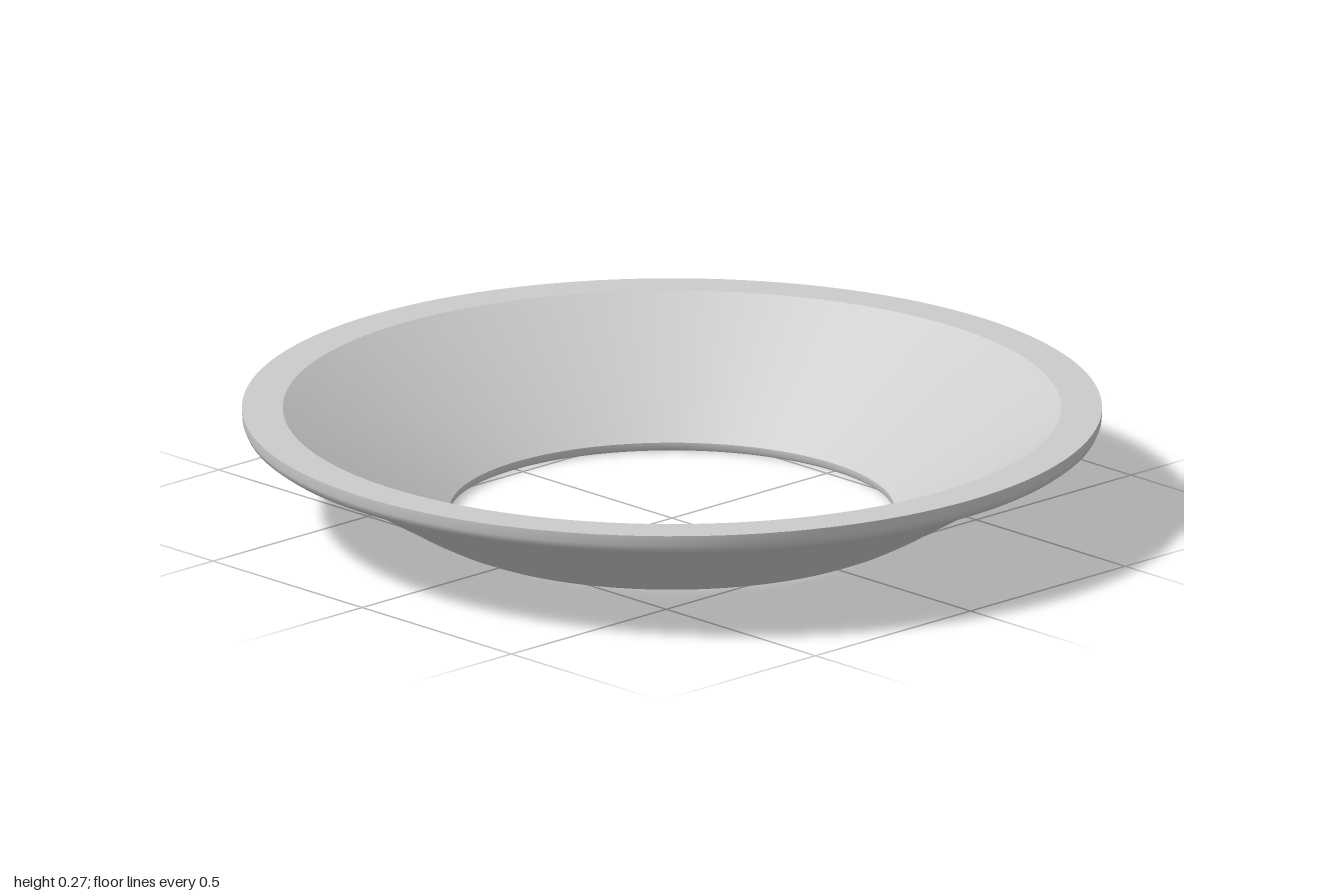
import * as THREE from 'three';

// Each section is a smooth strip; section ends meet at sharp edges.
// Profiles run counter-clockwise as [radius, height], so faces point outward.
const SECTIONS = {
  underside: [
    [0.555, 0], [0.568, 0.004], [0.6, 0.018], [0.65, 0.045], [0.75, 0.106],
    [0.84, 0.161], [0.9, 0.193], [0.95, 0.212], [0.98, 0.222], [0.993, 0.232],
    [0.999, 0.246], [1, 0.27],
  ],
  rimTop: [[1, 0.27], [0.905, 0.27]],
  innerCone: [[0.905, 0.27], [0.518, 0.021]],
  holeWall: [[0.518, 0.021], [0.518, 0.007], [0.525, 0]],
  footRing: [[0.525, 0], [0.555, 0]],
};

export function createModel() {
  const group = new THREE.Group();
  group.name = 'flaredRing';
  const material = new THREE.MeshStandardMaterial({ color: 0xcccccc });
  for (const [name, profile] of Object.entries(SECTIONS)) {
    const points = profile.map(([r, y]) => new THREE.Vector2(r, y));
    const mesh = new THREE.Mesh(new THREE.LatheGeometry(points, 128), material);
    mesh.name = name;
    group.add(mesh);
  }
  return group;
}
